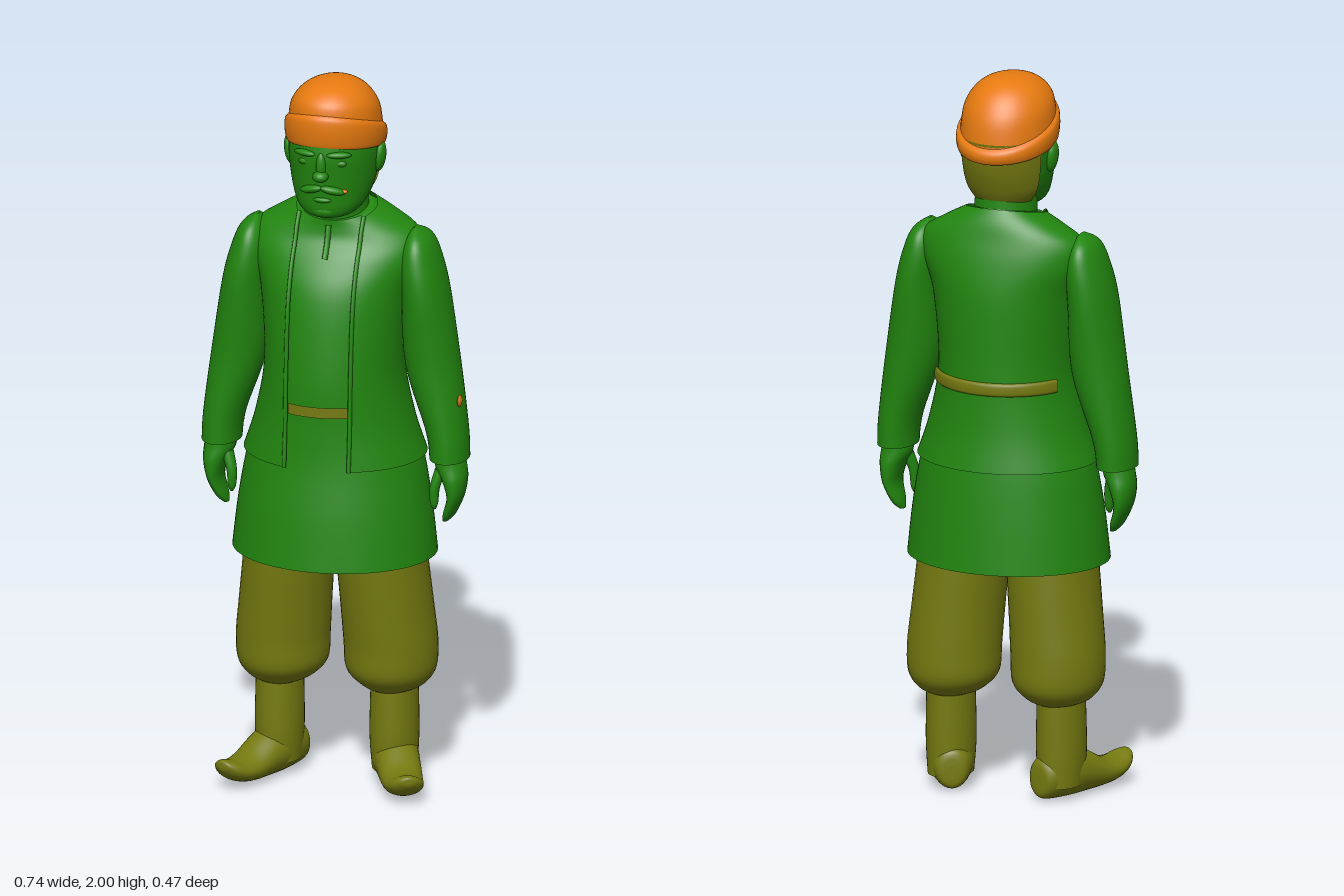
import * as THREE from 'three';

const flat = (name, color, side = THREE.FrontSide) => {
  const m = new THREE.MeshStandardMaterial({ color, side });
  m.name = name;
  return m;
};

const catmull = (a, b, c, d, t) =>
  0.5 * (2 * b + (c - a) * t + (2 * a - 5 * b + 4 * c - d) * t * t + (3 * b - a - 3 * c + d) * t * t * t);

// Smooth skin through elliptical rings [x, y, z, rx, rz, tilt], listed bottom to top.
// arc(ring) returns the angle range for an open shell; angle 0 faces +z.
function loft(rings, { seg = 40, sub = 5, arc = null } = {}) {
  const at = (i) => rings[Math.max(0, Math.min(rings.length - 1, i))];
  const fine = [];
  for (let i = 0; i < rings.length - 1; i++)
    for (let s = 0; s < sub; s++)
      fine.push([0, 1, 2, 3, 4, 5].map((k) =>
        catmull(at(i - 1)[k] ?? 0, at(i)[k] ?? 0, at(i + 1)[k] ?? 0, at(i + 2)[k] ?? 0, s / sub)));
  fine.push([0, 1, 2, 3, 4, 5].map((k) => at(rings.length)[k] ?? 0));

  const pos = [], idx = [], cols = arc ? seg + 1 : seg;
  const addRing = ([x, y, z, rx, rz, tilt], range) => {
    for (let i = 0; i < cols; i++) {
      const t = range[0] + (range[1] - range[0]) * i / seg;
      const c = Math.cos(t) * rz;
      pos.push(x + Math.sin(t) * rx, y + tilt * c, z + c);
    }
  };
  for (const r of fine) addRing(r, arc ? arc(r) : [0, Math.PI * 2]);
  for (let j = 0; j < fine.length - 1; j++)
    for (let i = 0; i < seg; i++) {
      const a = j * cols + i, b = j * cols + (i + 1) % cols;
      idx.push(a, b, b + cols, a, b + cols, a + cols);
    }
  // Flat end caps with their own vertices
  if (!arc) [fine[0], fine[fine.length - 1]].forEach((r, top) => {
    const start = pos.length / 3;
    addRing(r, [0, Math.PI * 2]);
    pos.push(r[0], r[1], r[2]);
    for (let i = 0; i < seg; i++) {
      const a = start + i, b = start + (i + 1) % seg;
      if (top) idx.push(start + seg, a, b);
      else idx.push(start + seg, b, a);
    }
  });
  const g = new THREE.BufferGeometry();
  g.setAttribute('position', new THREE.Float32BufferAttribute(pos, 3));
  g.setIndex(idx);
  g.computeVertexNormals();
  return g;
}

const tube = (points, r) => new THREE.TubeGeometry(
  new THREE.CatmullRomCurve3(points.map((p) => new THREE.Vector3(...p))), 30, r, 8);

export function createModel() {
  const model = new THREE.Group();
  const green = flat('green', 0x22860f, THREE.DoubleSide);
  const olive = flat('olive', 0x757a10, THREE.DoubleSide);
  const orange = flat('orange', 0xe87b10);

  const add = (name, geometry, material) => {
    const m = new THREE.Mesh(geometry, material);
    m.name = name;
    model.add(m);
    return m;
  };
  const blob = (name, material, p, s) => {
    const m = add(name, new THREE.SphereGeometry(1, 20, 14), material);
    m.position.set(...p);
    m.scale.set(...s);
    return m;
  };

  // Open jacket over a long tunic
  const jacket = [
    [0, 0.94, -0.005, 0.25, 0.215, 0], [0, 1.05, 0, 0.215, 0.203, 0],
    [0, 1.2, 0.003, 0.19, 0.197, 0], [0, 1.4, -0.01, 0.205, 0.18, 0],
    [0, 1.5, -0.025, 0.235, 0.15, 0], [0, 1.56, -0.033, 0.228, 0.122, -0.08],
    [0, 1.6, -0.03, 0.17, 0.11, -0.15], [0, 1.63, -0.02, 0.11, 0.1, -0.22],
  ];
  const gap = 0.09;
  add('jacket', loft(jacket, {
    seg: 64,
    arc: (r) => { const a = Math.asin(gap / r[3]); return [a, Math.PI * 2 - a]; },
  }), green);
  const tunic = [[0, 0.66, 0, 0.28, 0.235, 0], [0, 0.8, -0.002, 0.264, 0.222, 0],
    ...jacket.map(([x, y, z, rx, rz, t]) => [x, y, z, rx - 0.011, rz - 0.011, t])];
  add('tunic', loft(tunic, { seg: 64 }), green);
  for (const s of [-1, 1])
    add('jacketEdge', tube(jacket.map(([, y, z, rx, rz, t]) => {
      const c = rz * Math.sqrt(1 - (gap / rx) ** 2);
      return [s * gap, y + t * c, z + c];
    }), 0.006), green);
  add('tunicPlacket', tube([[0, 1.595, 0.068], [0, 1.55, 0.084], [0, 1.51, 0.109]], 0.008), green);

  // Belt: seen in the jacket opening and across the back
  add('frontBelt', loft([[0, 1.088, 0.001, 0.2, 0.196], [0, 1.118, 0.001, 0.2, 0.196]],
    { arc: () => [-0.43, 0.43] }), olive);
  add('backBelt', loft([[0, 1.15, 0, 0.197, 0.197], [0, 1.157, 0, 0.201, 0.203],
    [0, 1.18, 0, 0.2, 0.203], [0, 1.187, 0, 0.194, 0.195]],
    { arc: () => [Math.PI - 1.1, Math.PI + 1.1] }), olive);

  // Arms, hands, legs and boots
  for (const s of [-1, 1]) {
    const side = (rings) => rings.map(([x, ...rest]) => [x * s, ...rest]);
    add('sleeve', loft(side([
      [0.318, 0.94, -0.008, 0.053, 0.078], [0.31, 1.02, -0.01, 0.057, 0.08],
      [0.27, 1.2, -0.015, 0.075, 0.086], [0.25, 1.4, -0.015, 0.064, 0.098],
      [0.235, 1.5, -0.018, 0.054, 0.09], [0.23, 1.555, -0.02, 0.034, 0.066],
      [0.222, 1.583, -0.02, 0.005, 0.015]])), green);
    add('hand', loft(side([
      [0.306, 0.757, -0.008, 0.008, 0.014], [0.318, 0.78, -0.008, 0.017, 0.035],
      [0.335, 0.83, -0.006, 0.022, 0.052], [0.333, 0.88, -0.005, 0.034, 0.056],
      [0.322, 0.92, -0.005, 0.043, 0.05], [0.318, 0.96, -0.005, 0.04, 0.046]]), { seg: 24 }), green);
    add('thumb', loft(side([
      [0.283, 0.797, 0.022, 0.004, 0.005], [0.282, 0.815, 0.022, 0.011, 0.014],
      [0.284, 0.86, 0.02, 0.014, 0.018], [0.3, 0.91, 0.01, 0.018, 0.02]]), { seg: 16 }), green);
    add('trouserLeg', loft(side([
      [0.155, 0.27, -0.022, 0.062, 0.08], [0.155, 0.285, -0.024, 0.092, 0.104],
      [0.151, 0.325, -0.022, 0.122, 0.133], [0.15, 0.4, -0.02, 0.127, 0.138],
      [0.142, 0.5, -0.014, 0.125, 0.141], [0.128, 0.66, -0.005, 0.122, 0.145],
      [0.125, 0.75, -0.005, 0.12, 0.14]])), olive);
    add('bootShaft', loft(side([
      [0.16, 0.04, -0.022, 0.06, 0.078], [0.16, 0.14, -0.02, 0.066, 0.083],
      [0.16, 0.3, -0.022, 0.063, 0.081]])), olive);
    // Boot foot sections: [distance from ankle, sole height, top height, half width]
    const foot = loft([
      [-0.088, 0.035, 0.08, 0.012], [-0.076, 0.01, 0.12, 0.044], [0, 0.003, 0.145, 0.063],
      [0.07, 0.004, 0.125, 0.061], [0.14, 0.008, 0.088, 0.057], [0.19, 0.018, 0.08, 0.052],
      [0.225, 0.035, 0.088, 0.042], [0.246, 0.058, 0.09, 0.024], [0.251, 0.07, 0.085, 0.008],
    ].map(([d, lo, hi, w]) => [0, d, -(lo + hi) / 2, w, (hi - lo) / 2]), { seg: 28 });
    foot.rotateX(Math.PI / 2).rotateY(s * 0.41).translate(s * 0.16, 0, -0.02);
    add('bootFoot', foot, olive);
  }
  blob('sleevePatch', orange, [0.353, 1.11, 0.02], [0.006, 0.016, 0.017]);

  // Head and neck
  const head = [
    [0, 1.628, 0.06, 0.03, 0.035], [0, 1.637, 0.055, 0.065, 0.07], [0, 1.66, 0.04, 0.09, 0.096],
    [0, 1.7, 0.018, 0.108, 0.122], [0, 1.76, 0.005, 0.12, 0.141],
    [0, 1.82, 0, 0.124, 0.15], [0, 1.9, 0, 0.115, 0.135]];
  add('head', loft(head), green);
  add('neck', loft([[0, 1.56, -0.03, 0.09, 0.09], [0, 1.64, -0.022, 0.085, 0.088],
    [0, 1.72, -0.015, 0.085, 0.09]]), green);
  add('hair', loft([[0, 1.665, -0.01, 0.09, 0.093], [0, 1.7, -0.006, 0.112, 0.116],
    [0, 1.76, 0.002, 0.124, 0.145], [0, 1.84, 0, 0.127, 0.154]],
    { arc: () => [1.98, Math.PI * 2 - 1.98] }), olive);
  blob('noseBridge', green, [0, 1.79, 0.146], [0.014, 0.038, 0.015]);
  blob('noseTip', green, [0, 1.762, 0.153], [0.022, 0.016, 0.022]);
  blob('lowerLip', green, [0, 1.69, 0.135], [0.026, 0.008, 0.011]);
  blob('chin', green, [0, 1.655, 0.117], [0.036, 0.02, 0.02]);
  for (const s of [-1, 1]) {
    blob('ear', green, [s * 0.125, 1.782, 0.0], [0.016, 0.043, 0.026]).rotation.z = -s * 0.12;
    blob('brow', green, [s * 0.048, 1.822, 0.138], [0.034, 0.009, 0.012]).rotation.y = s * 0.35;
    blob('eye', green, [s * 0.047, 1.796, 0.13], [0.02, 0.01, 0.01]);
    blob('moustache', green, [s * 0.03, 1.72, 0.138], [0.035, 0.011, 0.014]).rotation.set(0, s * 0.3, -s * 0.22);
  }
  blob('moustacheTip', orange, [0.057, 1.716, 0.127], [0.012, 0.006, 0.008]);

  // Cap with a rolled rim, higher at the front
  add('capRim', loft([
    [0, 1.812, -0.007, 0.122, 0.146, 0.18], [0, 1.815, -0.007, 0.132, 0.154, 0.18],
    [0, 1.842, -0.007, 0.137, 0.16, 0.25], [0, 1.868, -0.007, 0.135, 0.158, 0.32],
    [0, 1.88, -0.007, 0.124, 0.147, 0.35]], { seg: 48 }), orange);
  add('capCrown', loft([
    [0, 1.865, -0.006, 0.127, 0.149, 0.33], [0, 1.925, -0.004, 0.118, 0.139, 0.2],
    [0, 1.968, 0, 0.09, 0.107, 0.1], [0, 1.992, 0.006, 0.05, 0.06, 0.03],
    [0, 2, 0.008, 0.001, 0.001, 0]], { seg: 48 }), orange);

  return model;
}
